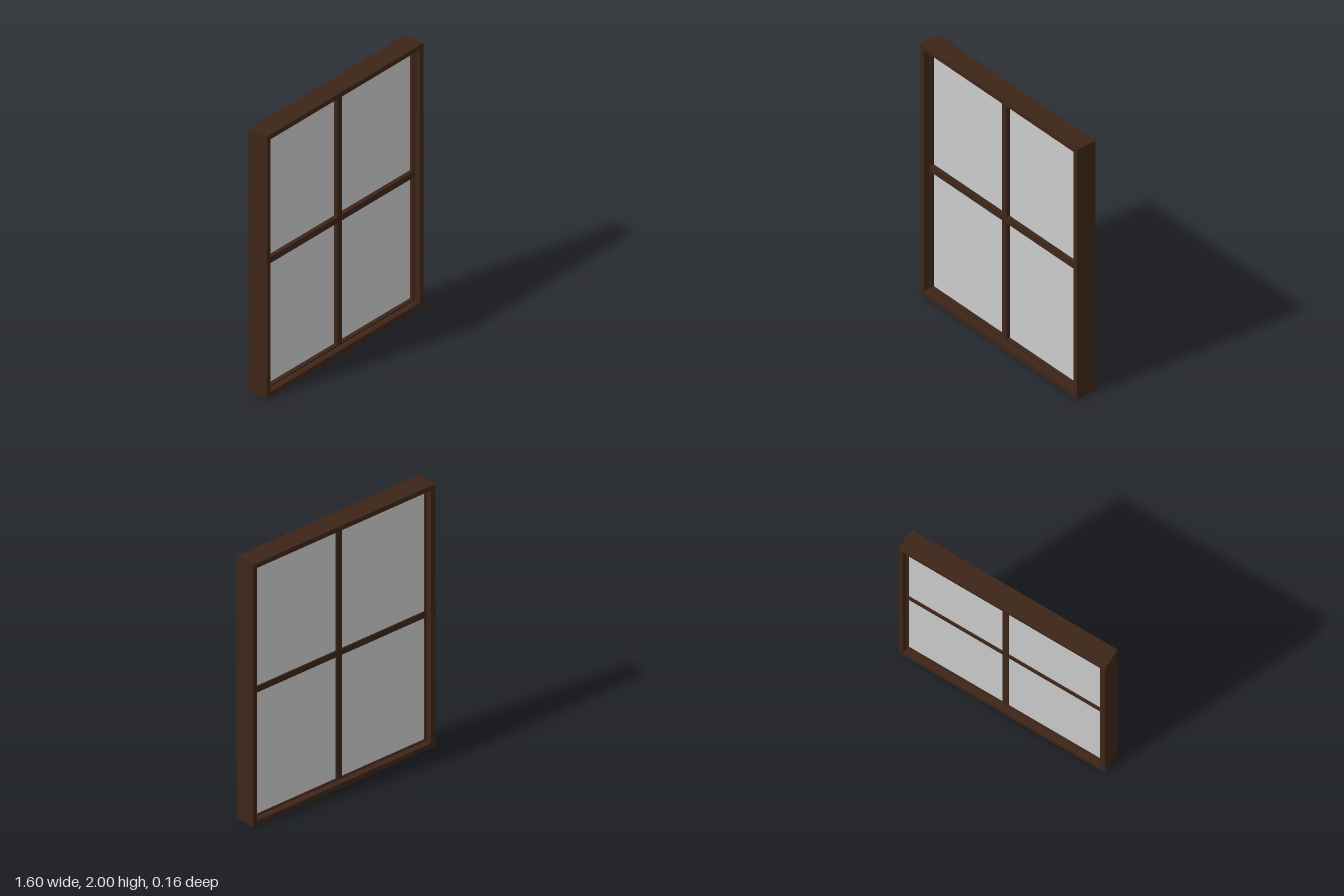
import * as THREE from 'three';

const W = 1.6, H = 2;

export function createModel() {
  const group = new THREE.Group();
  const wood = new THREE.MeshStandardMaterial({ color: 0x3d2517 });
  const glass = new THREE.MeshStandardMaterial({ color: 0xcccccc });

  const rect = (path, w, h) => {
    path.moveTo(-w / 2, -h / 2);
    path.lineTo(w / 2, -h / 2);
    path.lineTo(w / 2, h / 2);
    path.lineTo(-w / 2, h / 2);
    path.closePath();
    return path;
  };

  const add = (name, geometry, material, x, y, z) => {
    const mesh = new THREE.Mesh(geometry, material);
    mesh.name = name;
    mesh.position.set(x, y, z);
    group.add(mesh);
  };

  // Rectangular ring, inset from the outer size, centred in depth
  const addRing = (name, inset, width, depth) => {
    const w = W - 2 * inset, h = H - 2 * inset;
    const shape = rect(new THREE.Shape(), w, h);
    shape.holes.push(rect(new THREE.Path(), w - 2 * width, h - 2 * width));
    const geometry = new THREE.ExtrudeGeometry(shape, { depth, bevelEnabled: false });
    add(name, geometry, wood, 0, H / 2, -depth / 2);
  };

  // Deep outer frame and the shallower sash stepped inside it
  const rim = 0.036, lip = 0.011, sashDepth = 0.066;
  addRing('outerFrame', 0, rim, 0.16);
  addRing('sash', rim, lip, sashDepth);

  // Crossing glazing bars
  const inset = rim + lip, bar = 0.046;
  const openW = W - 2 * inset, openH = H - 2 * inset;
  add('verticalBar', new THREE.BoxGeometry(bar, openH, sashDepth), wood, 0, H / 2, 0);
  for (const [side, label] of [[-1, 'right'], [1, 'left']]) {
    const length = (openW - bar) / 2;
    add(label + 'HorizontalBar', new THREE.BoxGeometry(length, bar, sashDepth), wood,
      side * (bar + length) / 2, H / 2, 0);
  }

  // Four panes between the bars
  const paneW = (openW - bar) / 2, paneH = (openH - bar) / 2;
  for (const sx of [-1, 1]) {
    for (const sy of [-1, 1]) {
      const name = (sy > 0 ? 'upper' : 'lower') + (sx > 0 ? 'Left' : 'Right') + 'Pane';
      add(name, new THREE.BoxGeometry(paneW, paneH, 0.026), glass,
        sx * (bar + paneW) / 2, H / 2 + sy * (bar + paneH) / 2, -0.01);
    }
  }

  return group;
}
